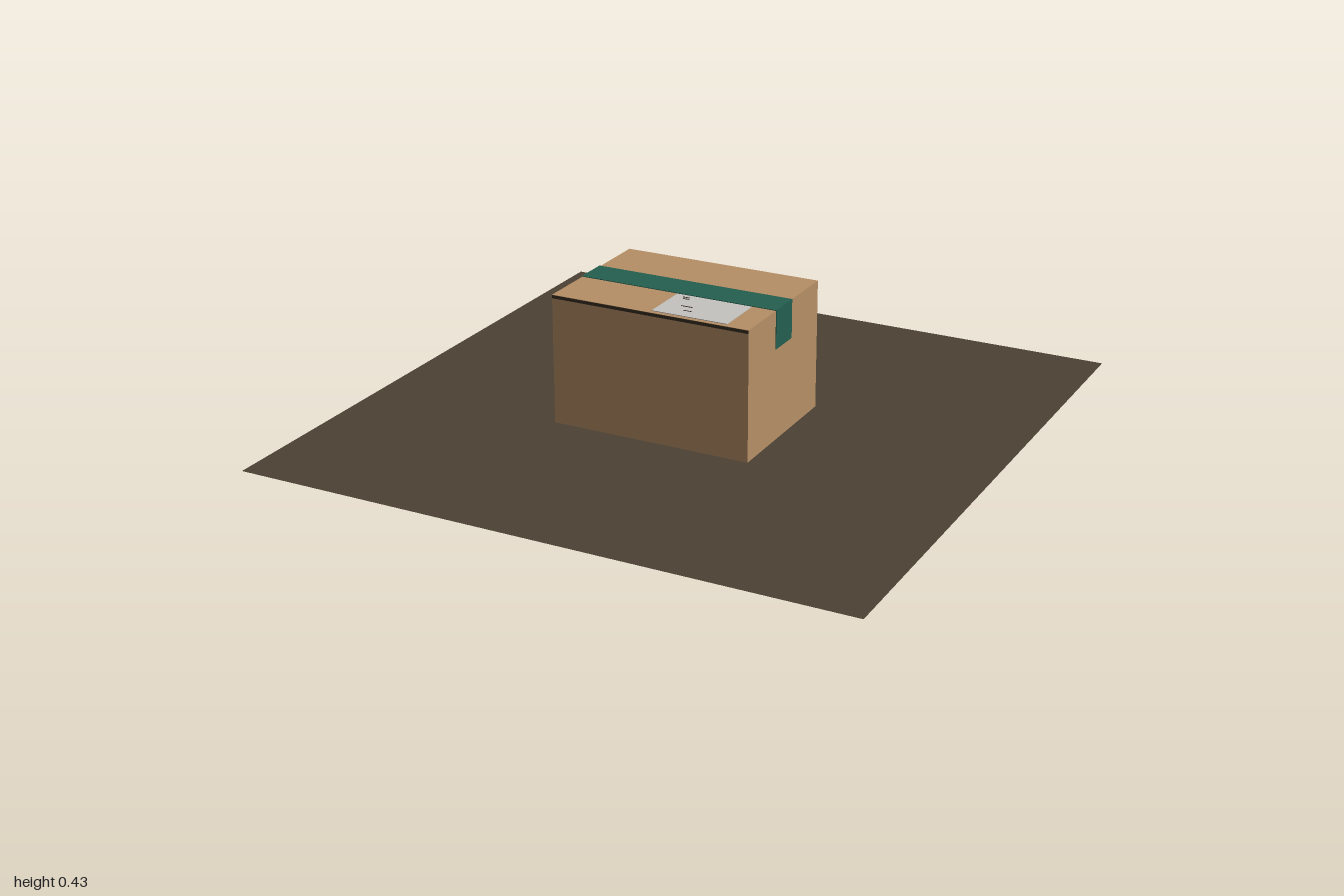
import * as THREE from 'three';

const material = (name, color, side = THREE.FrontSide) => {
  const m = new THREE.MeshStandardMaterial({ color, side });
  m.name = name;
  return m;
};

export function createModel() {
  const cardboard = material('cardboard', 0xb58f66);
  const green = material('green tape', 0x246050);
  const paper = material('label paper', 0xc4c3bf);
  const dark = material('dark brown', 0x3a2e22);
  const floor = material('floor brown', 0x4c4234, THREE.DoubleSide);

  const model = new THREE.Group();
  model.name = 'parcel';

  // Axis-aligned block given by its lower and upper corners
  const block = (name, mat, [x0, y0, z0], [x1, y1, z1]) => {
    const mesh = new THREE.Mesh(new THREE.BoxGeometry(x1 - x0, y1 - y0, z1 - z0), mat);
    mesh.position.set((x0 + x1) / 2, (y0 + y1) / 2, (z0 + z1) / 2);
    mesh.name = name;
    model.add(mesh);
  };

  const L = -0.362, R = 0.305, B = -0.228, F = 0.26, H = 0.424;
  const t = 0.002;

  // Floor sheet, a hair above the underside of the box
  const sheet = new THREE.Mesh(new THREE.PlaneGeometry(2, 2).rotateX(-Math.PI / 2), floor);
  sheet.position.y = 0.001;
  sheet.name = 'floorSheet';
  model.add(sheet);

  // Carton
  block('carton', cardboard, [L, 0, B], [R, H, F]);

  // Dark flap folds along the top of the front and back
  block('frontFold', dark, [L, H - 0.011, F - t], [R, H - 0.001, F + 0.001]);
  block('backFold', dark, [L, H - 0.011, B - 0.001], [R, H - 0.001, B + t]);

  // Tape over the top seam, folded down both ends
  const z0 = -0.036, z1 = 0.075;
  block('tapeTop', green, [L - t, H - t, z0], [R + t, H + t, z1]);
  block('tapeLeftEnd', green, [R - t, 0.3, z0], [R + t, H, z1]);
  block('tapeRightEnd', green, [L - t, 0.3, z0], [L + t, H, z1]);

  // Address label with a few plain printed dashes
  block('label', paper, [-0.025, H - t, 0.08], [0.227, H + t, 0.245]);
  for (const [x, z, w, d] of [
    [0.005, 0.098, 0.022, 0.004], [0.012, 0.11, 0.02, 0.004],
    [0.035, 0.168, 0.038, 0.004], [0.06, 0.201, 0.028, 0.003],
  ]) block('printedDash', dark, [x, H, z], [x + w, H + 0.003, z + d]);

  return model;
}
